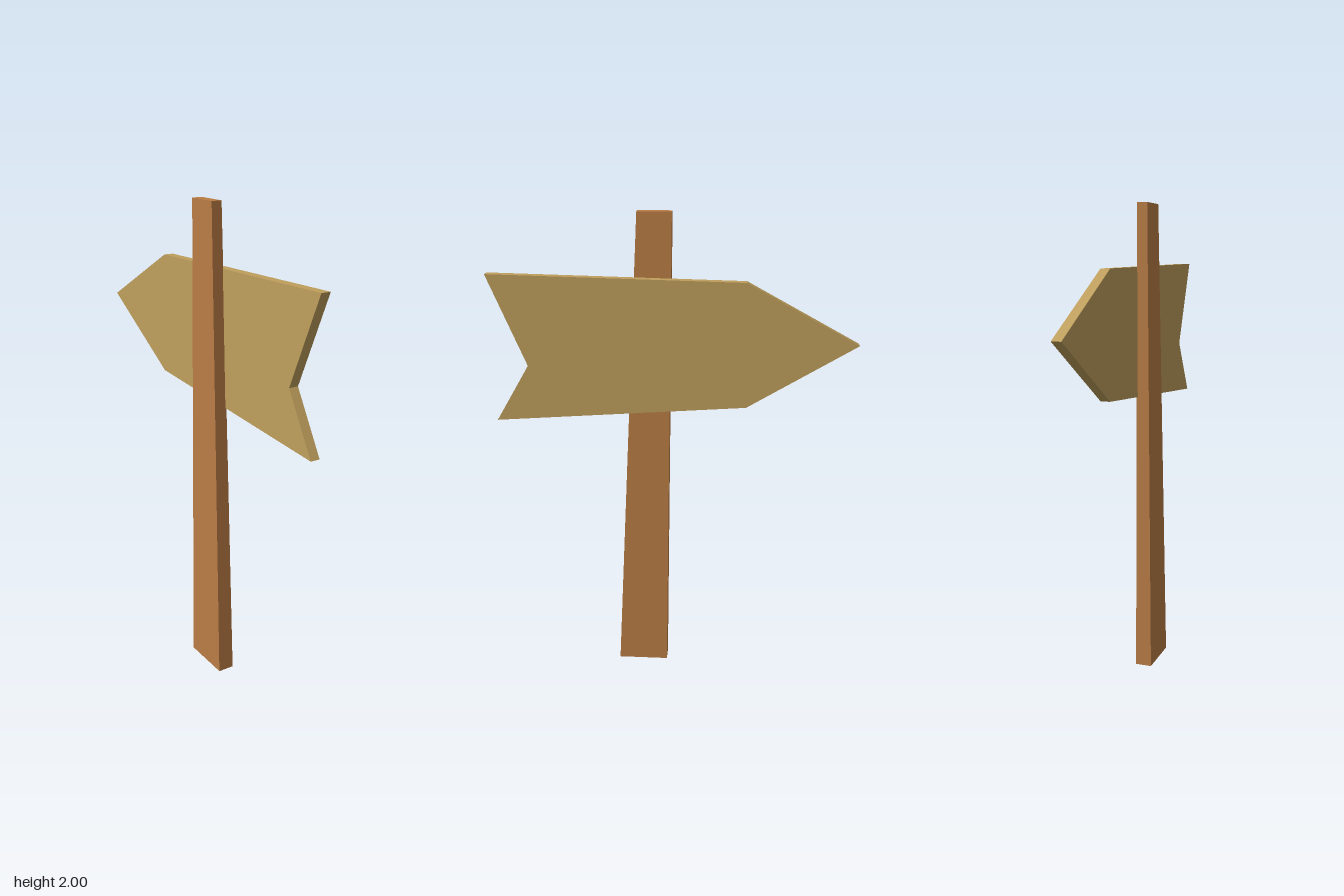
import * as THREE from 'three';

export function createModel() {
  const group = new THREE.Group();
  group.name = 'signpost';

  const postWood = new THREE.MeshStandardMaterial({ color: 0xbb7d45, flatShading: true });
  postWood.name = 'post wood';
  const boardWood = new THREE.MeshStandardMaterial({ color: 0xbf9f5c, flatShading: true });
  boardWood.name = 'board wood';

  // Post: a box whose top and bottom are fitted to two rectangles, so it tapers and leans
  const bottom = { y: 0, x: [-0.05, 0.02], z: [0.028, 0.243] };
  const top = { y: 2, x: [-0.037, 0.007], z: [0.005, 0.142] };
  const postGeometry = new THREE.BoxGeometry(1, 1, 1);
  const p = postGeometry.attributes.position;
  for (let i = 0; i < p.count; i++) {
    const end = p.getY(i) > 0 ? top : bottom;
    p.setXYZ(i, end.x[p.getX(i) > 0 ? 1 : 0], end.y, end.z[p.getZ(i) > 0 ? 1 : 0]);
  }
  postGeometry.computeVertexNormals();
  const post = new THREE.Mesh(postGeometry, postWood);
  post.name = 'post';
  group.add(post);

  // Arrow board: outline drawn as (-z, y), extruded and turned to face sideways
  const outline = [
    [-0.743, 1.76], [-0.59, 1.39], [-0.73, 1.155],
    [0.3, 1.23], [0.74, 1.495], [0.29, 1.738],
  ].map(([x, y]) => new THREE.Vector2(x, y));
  const boardGeometry = new THREE.ExtrudeGeometry(new THREE.Shape(outline), {
    depth: 0.04,
    bevelEnabled: false,
  });
  boardGeometry.rotateY(Math.PI / 2);
  const board = new THREE.Mesh(boardGeometry, boardWood);
  board.name = 'arrowBoard';
  board.position.x = 0.007;
  group.add(board);

  return group;
}
